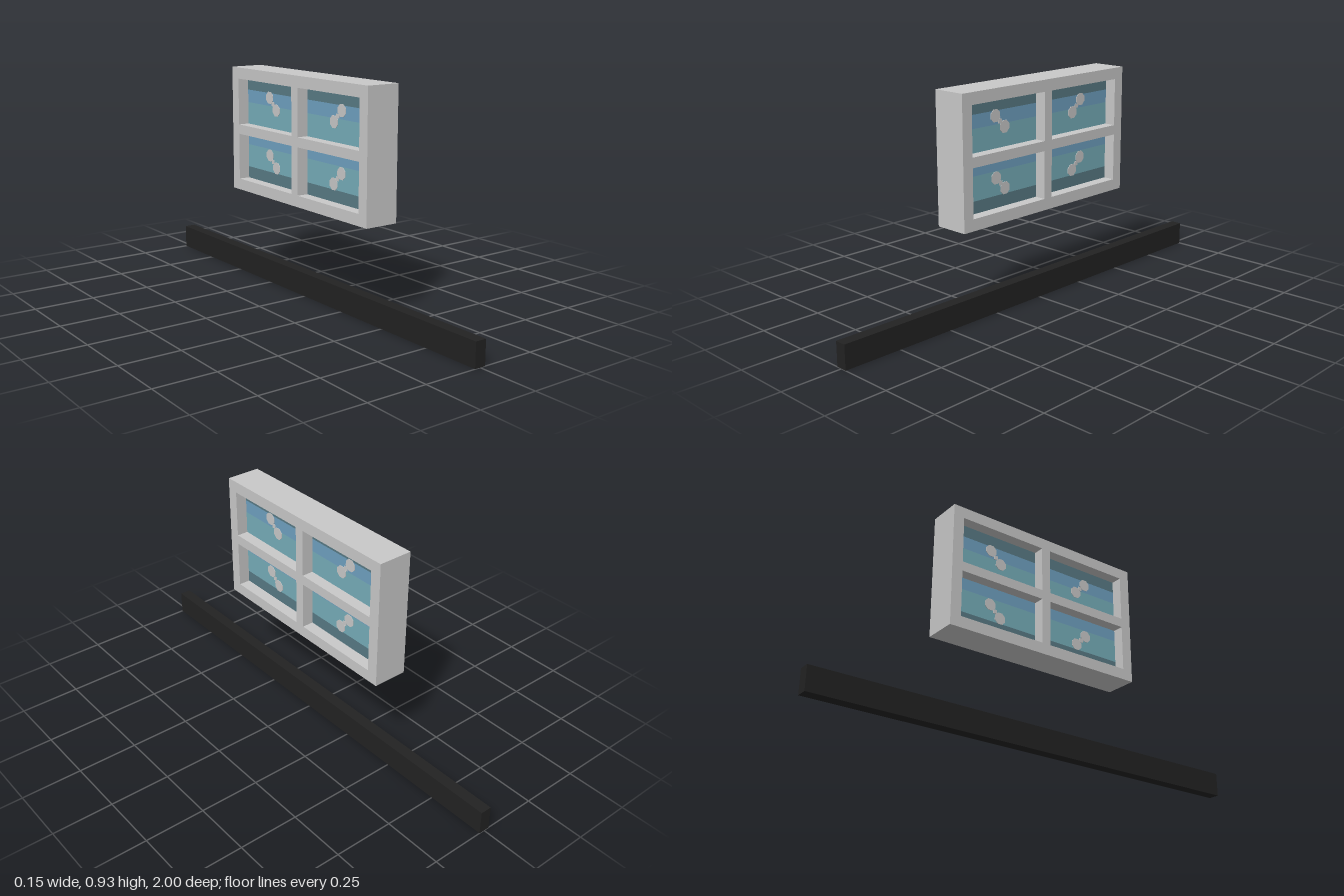
import * as THREE from 'three';

const mat = (name, color) => {
  const m = new THREE.MeshStandardMaterial({ color });
  m.name = name;
  return m;
};

export function createModel() {
  const model = new THREE.Group();
  model.name = 'windowAndRail';
  const frameGrey = mat('frameGrey', 0xc8c8c8);
  const railBlack = mat('railBlack', 0x222222);
  const glassBlue = mat('glassBlue', 0x6fa0c0);
  const glassTeal = mat('glassTeal', 0x76adb9);
  const glassDark = mat('glassDark', 0x587a84);

  const add = (parent, name, geometry, material, x = 0, y = 0, z = 0) => {
    const mesh = new THREE.Mesh(geometry, material);
    mesh.name = name;
    mesh.position.set(x, y, z);
    parent.add(mesh);
    return mesh;
  };

  // Floor rail
  add(model, 'rail', new THREE.BoxGeometry(0.048, 0.1, 2), railBlack, 0, 0.05, 0);

  // Frame with four openings, extruded across x
  const z0 = 0.021, z1 = 0.416;
  const rows = [
    { y0: 0.441, y1: 0.64, blobs: [0.563, 0.514],
      bands: [[0.441, 0.491, glassDark], [0.491, 0.59, glassTeal], [0.59, 0.64, glassBlue]] },
    { y0: 0.681, y1: 0.88, blobs: [0.81, 0.761],
      bands: [[0.681, 0.775, glassTeal], [0.775, 0.83, glassBlue], [0.83, 0.88, glassDark]] },
  ];
  const rect = (path, a, b, c, d) =>
    path.moveTo(a, b).lineTo(c, b).lineTo(c, d).lineTo(a, d).closePath();
  const outline = rect(new THREE.Shape(), -0.464, 0.393, 0.464, 0.928);
  for (const row of rows) {
    outline.holes.push(rect(new THREE.Path(), z0, row.y0, z1, row.y1));
    outline.holes.push(rect(new THREE.Path(), -z1, row.y0, -z0, row.y1));
  }
  const frame = new THREE.ExtrudeGeometry(outline, { depth: 0.146, bevelEnabled: false });
  frame.translate(0, 0, -0.073).rotateY(Math.PI / 2);
  add(model, 'windowFrame', frame, frameGrey);

  // Banded glass panes with a pair of small pale clouds on both faces
  const cloud = new THREE.CylinderGeometry(0.027, 0.027, 0.004, 8)
    .rotateY(Math.PI / 8).rotateZ(Math.PI / 2).toNonIndexed();
  cloud.computeVertexNormals();
  const link = new THREE.BoxGeometry(0.004, 0.018, 0.018);
  for (const row of rows) {
    for (const side of [1, -1]) {
      const pane = new THREE.Group();
      pane.name = 'windowPane';
      model.add(pane);
      for (const [a, b, material] of row.bands) {
        add(pane, 'glassBand', new THREE.BoxGeometry(0.048, b - a, z1 - z0), material,
          0, (a + b) / 2, side * (z0 + z1) / 2);
      }
      for (const x of [0.024, -0.024]) {
        add(pane, 'cloudOuter', cloud, frameGrey, x, row.blobs[0], side * 0.248);
        add(pane, 'cloudInner', cloud, frameGrey, x, row.blobs[1], side * 0.199);
        add(pane, 'cloudLink', link, frameGrey, x, (row.blobs[0] + row.blobs[1]) / 2, side * 0.2235);
      }
    }
  }
  return model;
}
